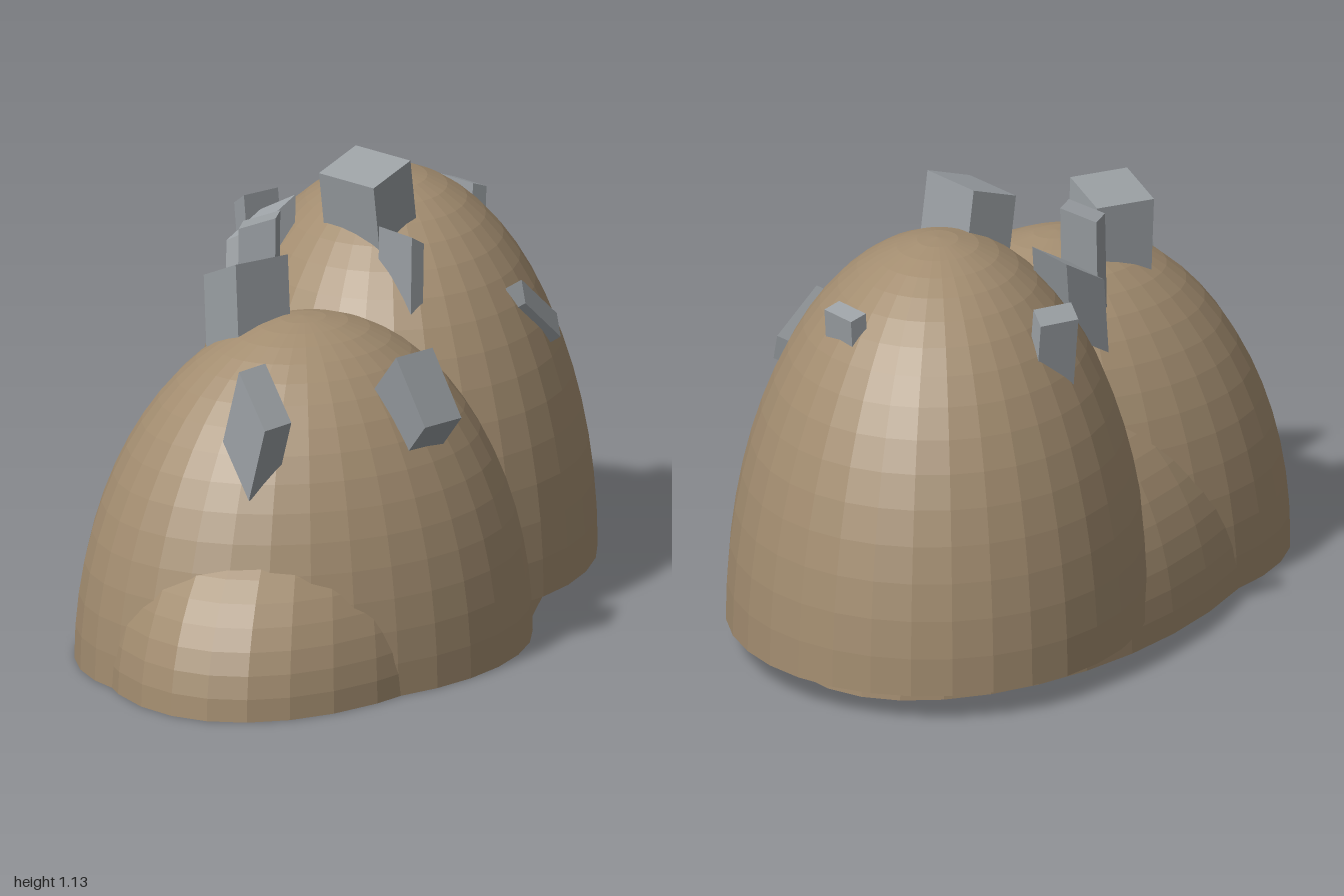
import * as THREE from 'three';

const earth = new THREE.MeshStandardMaterial({ color: 0xa38d70, flatShading: true });
const stone = new THREE.MeshStandardMaterial({ color: 0x9a9fa3, flatShading: true });

// Closed half ellipsoid standing on its flat base
function mound(name, position, radii, turn) {
  const group = new THREE.Group();
  group.name = name;
  const shell = new THREE.Mesh(new THREE.SphereGeometry(1, 32, 16, 0, Math.PI * 2, 0, Math.PI / 2), earth);
  shell.name = name + 'Shell';
  const base = new THREE.Mesh(new THREE.CircleGeometry(1, 32).rotateX(Math.PI / 2), earth);
  base.name = name + 'Base';
  group.add(shell, base);
  group.position.set(...position);
  group.scale.set(...radii);
  group.rotation.y = turn;
  return group;
}

// Slanted block spanned by three edges from one corner
function slab({ corner, a, b, c }, index) {
  let [u, v, w] = [a, b, c].map((e) => new THREE.Vector3(...e));
  if (u.clone().cross(v).dot(w) < 0) [u, v] = [v, u];
  const geometry = new THREE.BoxGeometry(1, 1, 1).translate(0.5, 0.5, 0.5);
  geometry.applyMatrix4(new THREE.Matrix4().makeBasis(u, v, w).setPosition(...corner));
  geometry.computeVertexNormals();
  const mesh = new THREE.Mesh(geometry, stone);
  mesh.name = 'rock' + (index + 1);
  return mesh;
}

const rocks = [
  // around the crown of the back mound
  { corner: [-0.10, 1.09, -0.127], a: [0.169, 0, 0.085], b: [0.058, 0.043, -0.12], c: [0.01, -0.24, -0.04] },
  { corner: [0.08, 0.99, -0.053], a: [0.107, 0, 0.069], b: [0.021, -0.023, -0.032], c: [-0.003, -0.22, 0] },
  { corner: [0.35, 0.80, -0.24], a: [0.035, 0.02, -0.02], b: [0.06, -0.11, -0.10], c: [0.01, -0.06, 0] },
  { corner: [0.04, 0.94, -0.69], a: [0.10, 0, 0.055], b: [0.024, -0.015, -0.035], c: [0, -0.09, 0.01] },
  { corner: [-0.41, 0.905, -0.41], a: [0.035, 0.03, 0.03], b: [0.06, 0, -0.09], c: [0.015, -0.2, 0] },
  // in the saddle
  { corner: [-0.335, 0.90, -0.11], a: [0.085, 0.04, -0.02], b: [0.06, 0.06, -0.09], c: [0.012, -0.21, 0.05] },
  { corner: [-0.24, 0.995, 0.09], a: [0.09, 0.03, -0.02], b: [-0.01, 0, -0.07], c: [0, -0.25, 0.01] },
  // on the front mound
  { corner: [-0.249, 0.95, 0.349], a: [0.10, 0.05, 0.053], b: [0.096, 0, -0.125], c: [0.007, -0.19, 0] },
  { corner: [-0.04, 0.823, 0.72], a: [0.085, -0.13, 0.055], b: [0.045, 0.005, -0.075], c: [-0.048, -0.19, -0.02] },
  { corner: [0.22, 0.72, 0.43], a: [0.076, 0.105, 0.06], b: [0.06, 0, -0.11], c: [0.08, -0.17, 0.015] },
];

export function createModel() {
  const model = new THREE.Group();
  model.name = 'rockyMounds';
  model.add(
    mound('backMound', [-0.002, 0.065, -0.37], [0.525, 0.98, 0.643], 0.35),
    mound('frontMound', [-0.008, 0, 0.29], [0.507, 0.85, 0.611], -0.55),
    mound('lowRidge', [-0.035, 0, 0.065], [0.505, 0.58, 0.935], 0),
    ...rocks.map(slab),
  );
  return model;
}
